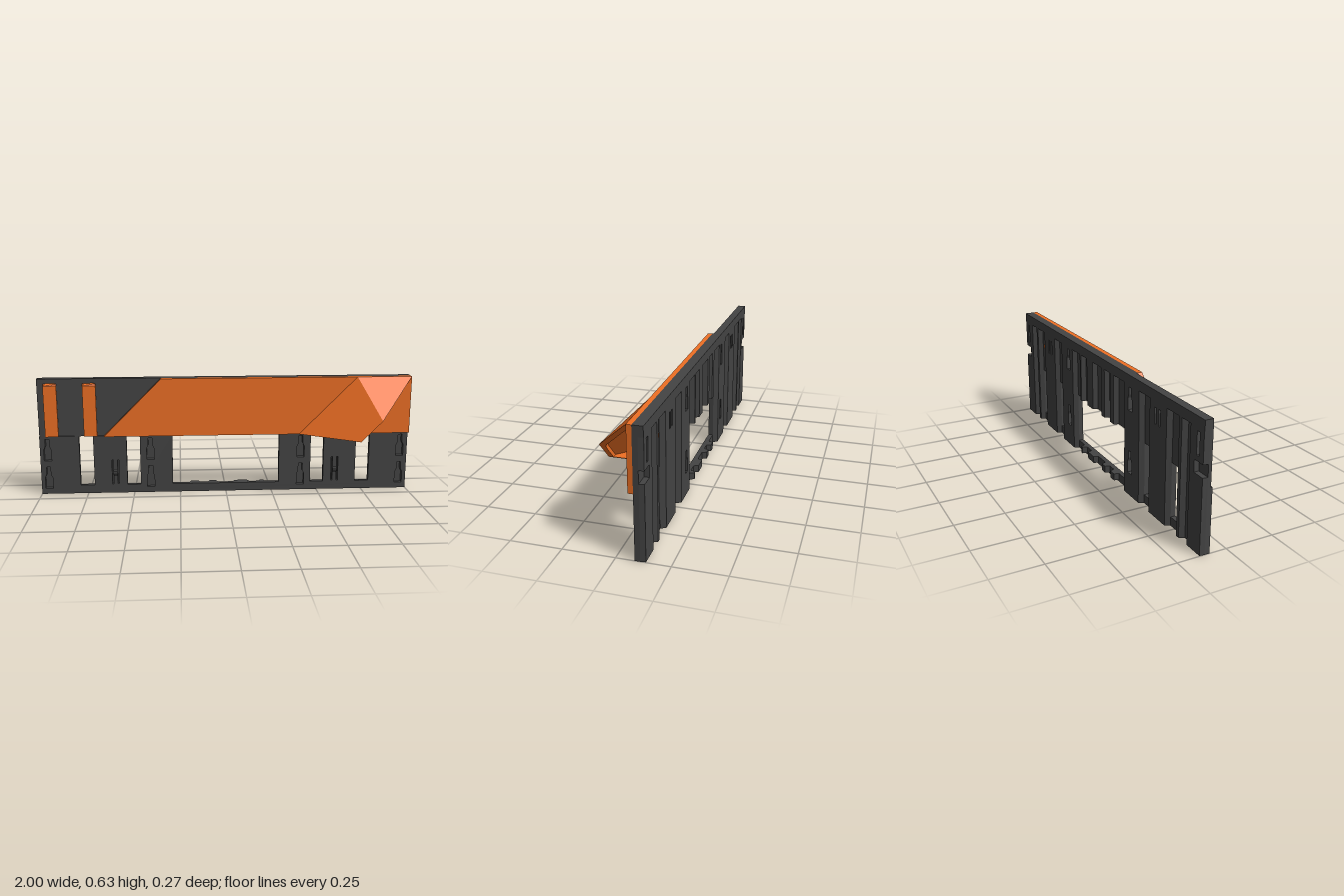
import * as THREE from 'three';

const dark = new THREE.MeshStandardMaterial({ color: 0x444444, flatShading: true });
const orange = new THREE.MeshStandardMaterial({ color: 0xf07024, flatShading: true, side: THREE.DoubleSide });

const TOP = 0.63, MID = 0.32;                       // plate height, upper/lower split
const BACK = -0.137, SKIN = -0.112, RECESS = -0.095, FRONT = -0.087, PANEL = -0.063, TIP = 0.138;

const shapeOf = pts => new THREE.Shape(pts.map(p => new THREE.Vector2(...p)));
const rect = (x0, x1, y0, y1) => [[x0, y0], [x1, y0], [x1, y1], [x0, y1]];
// keyhole outline: wide foot, narrow neck
const keyhole = (x, y) => [[-0.02, 0], [0.02, 0], [0.02, 0.06], [0.011, 0.08], [0.011, 0.12],
  [-0.011, 0.12], [-0.011, 0.08], [-0.02, 0.06]].map(([a, b]) => [x + a, y + b]);

function slab(outline, z0, z1, holes = []) {
  const s = shapeOf(outline);
  s.holes = holes.map(h => new THREE.Path(h.map(p => new THREE.Vector2(...p))));
  return new THREE.ExtrudeGeometry(s, { depth: z1 - z0, bevelEnabled: false }).translate(0, 0, z0);
}

// flat polygons, each a fan
function polygons(list) {
  const pos = [];
  for (const p of list)
    for (let i = 1; i < p.length - 1; i++) pos.push(...p[0], ...p[i], ...p[i + 1]);
  const g = new THREE.BufferGeometry();
  g.setAttribute('position', new THREE.Float32BufferAttribute(pos, 3));
  g.computeVertexNormals();
  return g;
}

export function createModel() {
  const model = new THREE.Group();
  const add = (name, geometry, material = dark) => {
    const m = new THREE.Mesh(geometry, material);
    m.name = name;
    model.add(m);
    return m;
  };

  // Front skin with windows, keyholes and slits
  const windows = [rect(-0.29, 0.29, 0.045, MID - 0.0005)];
  const cuts = [];
  for (const s of [-1, 1]) {
    for (const [a, b] of [[0.465, 0.537], [0.715, 0.79]])
      windows.push(rect(Math.min(s * a, s * b), Math.max(s * a, s * b), 0.045, MID - 0.0005));
    for (const x of [0.41, 0.96]) cuts.push(keyhole(s * x, 0.03), keyhole(s * x, 0.185));
    for (const d of [-0.015, 0.015])
      cuts.push(rect(s * 0.6 + d - 0.004, s * 0.6 + d + 0.004, 0.05, 0.185));
  }
  add('backPlate', slab(rect(-1, 1, 0, TOP), SKIN, RECESS, [...windows, ...cuts]));
  add('lowerFrontLayer', slab(rect(-1, 1, 0, MID), RECESS, FRONT, [...windows, ...cuts]));
  add('topRail', new THREE.BoxGeometry(2, 0.05, SKIN - BACK).translate(0, TOP - 0.025, (SKIN + BACK) / 2));

  // Rear columns: rear edges drawn in so the flanks slope
  function column(name, x0, x1, y0, y1, { holes = [], inset0 = 0.014, inset1 = 0.014, notch = 0 } = {}) {
    let outline = rect(x0, x1, y0, y1);
    if (notch > 0) outline = [[x0, y0], [x1, y0], [x1, 0.37], [x1 - 0.07, 0.37], [x1 - 0.07, 0.43], [x1, 0.43], [x1, y1], [x0, y1]];
    if (notch < 0) outline = [[x0, y0], [x1, y0], [x1, y1], [x0, y1], [x0, 0.43], [x0 + 0.07, 0.43], [x0 + 0.07, 0.37], [x0, 0.37]];
    const g = slab(outline, BACK, SKIN, holes), p = g.attributes.position;
    for (let i = 0; i < p.count; i++) {
      if (p.getZ(i) > BACK + 0.001) continue;
      if (Math.abs(p.getX(i) - x0) < 1e-4) p.setX(i, x0 + inset0);
      else if (Math.abs(p.getX(i) - x1) < 1e-4) p.setX(i, x1 - inset1);
    }
    g.computeVertexNormals();
    add(name, g);
  }
  const railBottom = TOP - 0.05;
  for (const s of [-1, 1]) {
    const span = (a, b) => (s > 0 ? [a, b] : [-b, -a]);
    const hole = (a, b, y0, y1) => rect(...span(a, b), y0, y1);
    column('innerColumn', ...span(0.29, 0.465), 0, railBottom,
      { holes: [keyhole(s * 0.36, 0.12), keyhole(s * 0.36, 0.45)] });
    column('middleColumn', ...span(0.537, 0.715), 0, railBottom,
      { holes: [hole(0.595, 0.61, 0.47, 0.55), hole(0.63, 0.645, 0.47, 0.55)] });
    column('sideRib', ...span(0.79, 0.84), 0, railBottom);
    column('endColumn', ...span(0.88, 1), 0, railBottom, {
      holes: [hole(0.945, 0.965, 0.455, 0.565)], notch: s,
      inset0: s > 0 ? 0.014 : 0.003, inset1: s > 0 ? 0.003 : 0.014,
    });
    // Small hook between the slits
    const hook = slab([[0, 0.095], [0.01, 0.112], [0.01, 0.122], [0, 0.127]], -0.011, 0.011);
    hook.rotateY(-Math.PI / 2).translate(s * 0.6, 0, FRONT);
    const p = hook.attributes.position;
    for (let i = 0; i < p.count; i++) p.setZ(i, Math.max(p.getZ(i), FRONT - 0.003));
    add('hook', hook);
  }
  // Ribs over the wide window, with their stubs on the sill
  for (const [x, w] of [[0.2, 0.035], [0.085, 0.09], [-0.07, 0.055], [-0.17, 0.06]]) {
    column('centreRib', x - w / 2, x + w / 2, MID, railBottom, { inset0: 0.01, inset1: 0.01 });
    column('sillStub', x - w / 2, x + w / 2, 0.008, 0.045, { inset0: 0.01, inset1: 0.01 });
  }

  // Slanted front panel with its dark backing
  const slanted = [[-0.655, MID], [1, MID], [1, TOP], [-0.345, TOP]];
  add('panelBacking', slab(slanted, RECESS, FRONT));
  add('slantedPanel', slab(slanted, FRONT, PANEL), orange);
  add('panelPeg', new THREE.CylinderGeometry(0.012, 0.012, 0.008, 16).rotateX(Math.PI / 2)
    .translate(0.75, 0.48, SKIN - 0.003), orange);

  // Hood: a wedge running up at 45 degrees, hollowed from its underside
  const under = (z, y) => [0.69 + y - MID, y, z];
  const A = [0.395, MID, PANEL], B = [0.705, TOP, PANEL];
  const E0 = under(PANEL, MID), E = under(TIP, MID), F = under(TIP, 0.43), C = under(PANEL, TOP);
  add('hoodFaces', polygons([[A, E, F, B], [B, F, C], [A, E0, E]]), orange);

  const inner = [[-0.05, 0.325], [0.113, 0.325], [0.113, 0.405], [0.11, 0.42], [0.1, 0.435], [-0.05, 0.587]];
  const rim = shapeOf([[PANEL, MID], [TIP, MID], [TIP, 0.43], [PANEL, TOP]]);
  rim.holes = [new THREE.Path(inner.map(p => new THREE.Vector2(...p)))];
  const rimGeo = new THREE.ShapeGeometry(rim), rp = rimGeo.attributes.position;
  for (let i = 0; i < rp.count; i++) rp.setXYZ(i, ...under(rp.getX(i), rp.getY(i)));
  rimGeo.computeVertexNormals();
  add('hoodRim', rimGeo, orange);

  const mouth = inner.map(p => under(...p));
  const floor = mouth.map(([x, y, z]) => [x - 0.7 * 0.295 * (TIP - z) / (TIP - PANEL), y, z]);
  const walls = mouth.map((p, i) => {
    const j = (i + 1) % mouth.length;
    return [p, mouth[j], floor[j], floor[i]];
  });
  add('hoodPocket', polygons([...walls, floor]), orange);

  // Two upright dovetail clips with sloped tops
  for (const x of [-0.93, -0.725]) {
    const g = new THREE.ExtrudeGeometry(
      shapeOf([[-0.024, 0], [0.024, 0], [0.035, 0.015], [0.035, 0.022], [-0.035, 0.022], [-0.035, 0.015]]),
      { depth: 0.285, bevelEnabled: false });
    g.rotateX(-Math.PI / 2).scale(1, 1, -1);
    const p = g.attributes.position;
    for (let i = 0; i < p.count; i++)
      if (p.getY(i) > 0.2 && p.getZ(i) > 0.02) p.setY(i, 0.275);
    // restore winding after the mirror
    for (let i = 0; i < p.count; i += 3) {
      const a = new THREE.Vector3().fromBufferAttribute(p, i + 1);
      const b = new THREE.Vector3().fromBufferAttribute(p, i + 2);
      p.setXYZ(i + 1, b.x, b.y, b.z);
      p.setXYZ(i + 2, a.x, a.y, a.z);
    }
    g.computeVertexNormals();
    add('clip', g.translate(x, MID, RECESS), orange);
  }
  return model;
}
